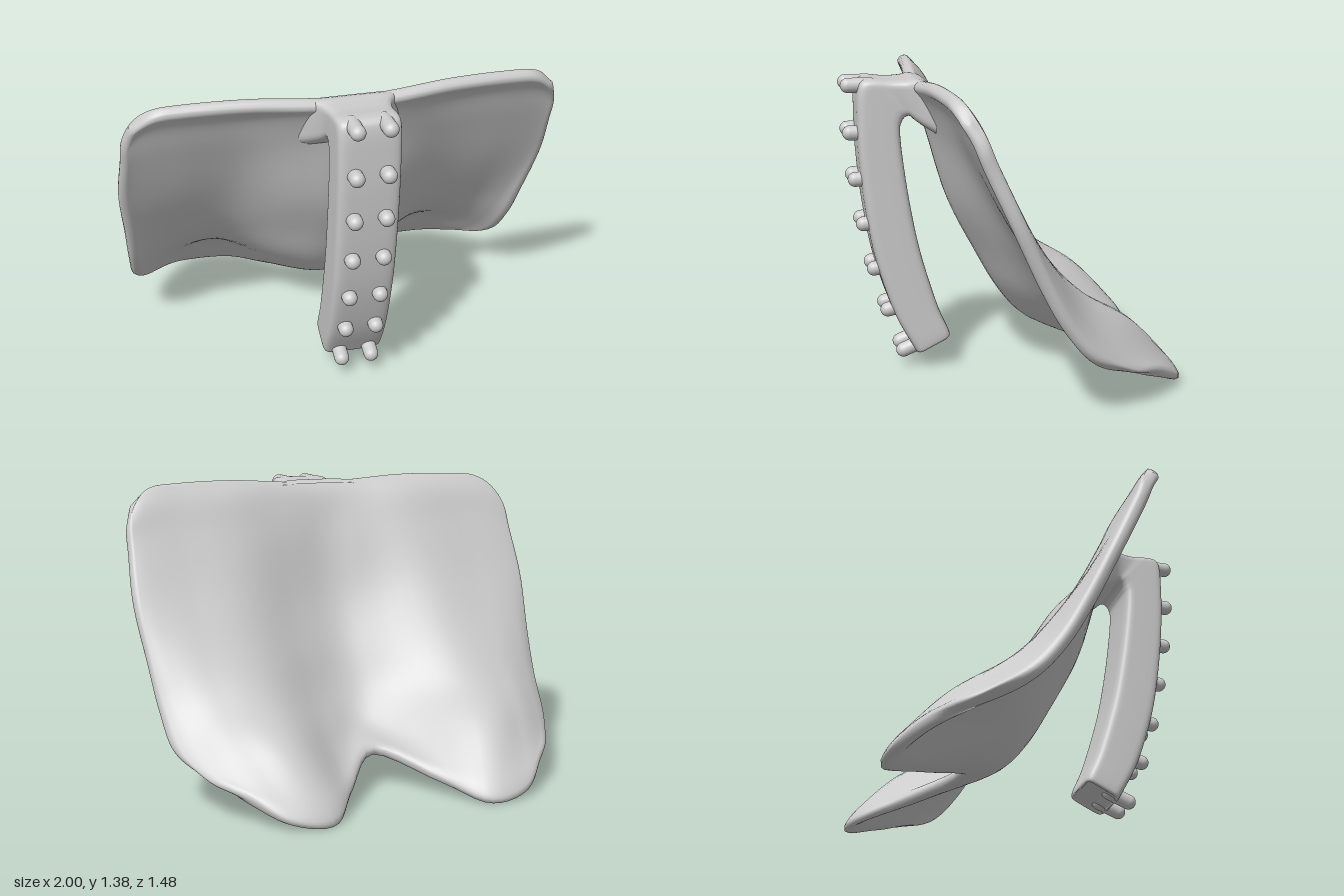
import * as THREE from 'three';
import { mergeVertices } from 'three/addons/utils/BufferGeometryUtils.js';

const material = new THREE.MeshStandardMaterial({ color: 0xcccccc });

// Lengthwise ribs of the flared shell, from its centre line out to one side, top to bottom
const ribs = [
  [[0, 1.345, .41], [0, 1.27, .365], [0, 1.1, .315], [0, .8, .225], [0, .55, .1], [0, .36, -.01], [0, .23, -.13], [0, .17, -.3]],
  [[.2, 1.355, .41], [.2, 1.28, .355], [.2, 1.11, .285], [.2, .82, .19], [.2, .58, .06], [.2, .38, -.065], [.21, .22, -.27], [.215, .075, -.53]],
  [[.45, 1.37, .395], [.46, 1.29, .315], [.46, 1.12, .235], [.47, .85, .1], [.48, .6, -.06], [.48, .42, -.24], [.46, .27, -.48], [.37, .005, -.72]],
  [[.72, 1.37, .37], [.74, 1.285, .305], [.74, 1.13, .235], [.74, .86, .1], [.73, .61, -.06], [.71, .43, -.21], [.67, .27, -.42], [.565, .03, -.71]],
  [[.85, 1.355, .355], [.9, 1.26, .29], [.91, 1.12, .23], [.91, .87, .11], [.89, .61, -.03], [.86, .41, -.16], [.82, .24, -.34], [.71, .11, -.58]],
  [[.95, 1.285, .31], [.985, 1.18, .26], [.99, 1.08, .22], [1, .86, .12], [.97, .6, .01], [.95, .4, -.1], [.92, .25, -.23], [.81, .16, -.42]],
];

function smoothCurve(points) {
  return new THREE.CatmullRomCurve3(points, false, 'catmullrom', 0.5);
}

function weldedGeometry(positions, index) {
  const geometry = new THREE.BufferGeometry();
  geometry.setAttribute('position', new THREE.Float32BufferAttribute(positions, 3));
  geometry.setIndex(index);
  const welded = mergeVertices(geometry, 1e-5);
  welded.computeVertexNormals();
  return welded;
}

function shellGeometry() {
  const half = ribs.map((rib) => rib.map((p) => new THREE.Vector3(...p)));
  const mirrored = half.slice(1).reverse().map((rib) => rib.map((p) => new THREE.Vector3(-p.x, p.y, p.z)));
  const lengthwise = [...mirrored, ...half].map(smoothCurve);
  const crosswise = (v) => smoothCurve(lengthwise.map((c) => c.getPoint(v)));

  const nu = 80, nv = 56, e = 0.004, thickness = 0.032;
  const spread = (s) => s - 0.75 * Math.sin(2 * Math.PI * s) / (2 * Math.PI);
  const rim = (d) => Math.sqrt(1 - (1 - Math.min(1, Math.max(0, d))) ** 2);
  const positions = [], index = [];
  for (const side of [1, -1]) {
    const base = positions.length / 3;
    for (let j = 0; j <= nv; j++) {
      const v = spread(j / nv);
      const row = crosswise(v);
      const above = crosswise(Math.max(0, v - e)), below = crosswise(Math.min(1, v + e));
      for (let i = 0; i <= nu; i++) {
        const u = spread(i / nu);
        const across = row.getPoint(Math.min(1, u + e)).sub(row.getPoint(Math.max(0, u - e)));
        const along = below.getPoint(u).sub(above.getPoint(u));
        const normal = along.cross(across).normalize();
        // The sheet thins to a rounded rim
        const t = thickness * rim(Math.min(u, 1 - u) / 0.04) * rim(Math.min(v, 1 - v) / 0.045);
        const p = row.getPoint(u).addScaledVector(normal, side * t);
        positions.push(p.x, p.y, p.z);
        if (i < nu && j < nv) {
          const a = base + j * (nu + 1) + i, b = a + 1, c = a + nu + 1, d = c + 1;
          if (side > 0) index.push(a, c, b, b, c, d);
          else index.push(a, b, c, b, d, c);
        }
      }
    }
  }
  return weldedGeometry(positions, index);
}

// Hooked strap: rounded sections [outer z, y, inner z, y, half width], foot to shell
const strapSections = [
  [.405, .085, .275, .15, .115], [.415, .075, .263, .15, .13], [.435, .105, .268, .18, .14], [.52, .27, .32, .305, .14],
  [.6, .52, .395, .56, .14], [.645, .77, .442, .8, .14], [.67, 1.02, .472, 1.02, .14], [.675, 1.2, .48, 1.13, .14],
  [.672, 1.31, .473, 1.165, .14], [.655, 1.355, .462, 1.183, .14], [.61, 1.365, .45, 1.192, .14],
  [.53, 1.358, .435, 1.192, .14], [.46, 1.36, .415, 1.175, .155], [.41, 1.365, .38, 1.15, .19], [.36, 1.35, .33, 1.12, .23],
];

function strapGeometry() {
  const outer = smoothCurve(strapSections.map(([z, y]) => new THREE.Vector3(0, y, z)));
  const inner = smoothCurve(strapSections.map(([, , z, y]) => new THREE.Vector3(0, y, z)));
  const width = smoothCurve(strapSections.map((s) => new THREE.Vector3(s[4], 0, 0)));
  const rows = 84, sides = 48;
  const squared = (n) => Math.sign(n) * Math.abs(n) ** 0.3;
  const positions = [], index = [];
  for (let j = 0; j <= rows; j++) {
    const o = outer.getPoint(j / rows), n = inner.getPoint(j / rows), w = width.getPoint(j / rows).x;
    for (let i = 0; i < sides; i++) {
      const angle = i / sides * Math.PI * 2;
      const p = n.clone().lerp(o, (1 + squared(Math.sin(angle))) / 2);
      positions.push(w * squared(Math.cos(angle)), p.y, p.z);
      if (j < rows) {
        const a = j * sides + i, b = j * sides + (i + 1) % sides;
        index.push(a, a + sides, b, b, a + sides, b + sides);
      }
    }
  }
  // Flat foot
  const foot = outer.getPoint(0).lerp(inner.getPoint(0), 0.5);
  const centre = positions.length / 3;
  positions.push(0, foot.y, foot.z);
  for (let i = 0; i < sides; i++) index.push(centre, i, (i + 1) % sides);
  return weldedGeometry(positions, index);
}

export function createModel() {
  const model = new THREE.Group();
  const add = (name, geometry) => {
    const mesh = new THREE.Mesh(geometry, material);
    mesh.name = name;
    model.add(mesh);
    return mesh;
  };

  add('flaredShell', shellGeometry());
  add('hookedStrap', strapGeometry());

  // Two columns of round-ended studs: tip height, tip depth, downward tilt
  const studRows = [
    [1.335, .745, 0], [1.12, .74, 0], [.905, .72, .03], [.695, .687, .07],
    [.48, .642, .13], [.277, .582, .2], [.07, .51, .38],
  ];
  const studGeometry = new THREE.CapsuleGeometry(.034, .1, 8, 20).rotateX(Math.PI / 2).translate(0, 0, -.084);
  for (const [y, z, tilt] of studRows) {
    for (const side of [-1, 1]) {
      const stud = add(side > 0 ? 'leftStud' : 'rightStud', studGeometry);
      stud.position.set(side * .07, y, z);
      stud.rotation.x = tilt;
    }
  }
  return model;
}
